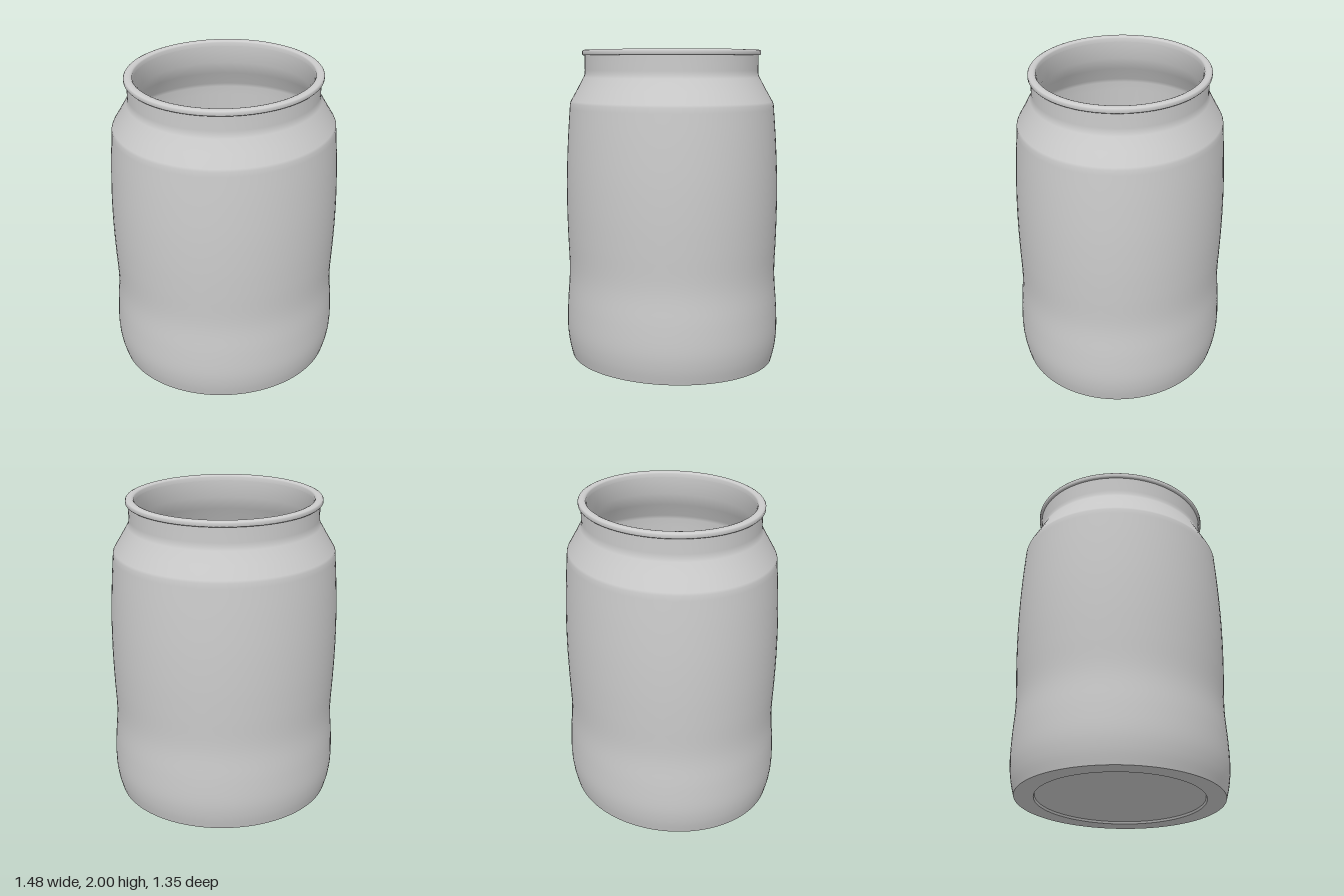
import * as THREE from 'three';

const DEPTH = 0.916; // the jar is oval: z is narrower than x
const SEGMENTS = 96;

const material = new THREE.MeshStandardMaterial({ color: 0xcccccc, side: THREE.DoubleSide });

const toPoints = (pairs) => pairs.map(([r, y]) => new THREE.Vector2(r, y));
const smooth = (pairs, n) => new THREE.SplineCurve(toPoints(pairs)).getPoints(n);

// Turns a profile, squashes it to an oval and leans it very slightly
function turned(name, points) {
  const geometry = new THREE.LatheGeometry(points, SEGMENTS, Math.PI / 2);
  geometry.scale(1, 1, DEPTH);
  const p = geometry.attributes.position;
  for (let i = 0; i < p.count; i++) {
    p.setX(i, p.getX(i) - 0.004 * Math.min(1, p.getY(i) / 1.7));
  }
  const mesh = new THREE.Mesh(geometry, material);
  mesh.name = name;
  return mesh;
}

export function createModel() {
  const jar = new THREE.Group();
  jar.name = 'jar';

  // Outer wall: rounded foot, slight waist, gentle belly
  const wall = smooth([
    [0.705, 0], [0.727, 0.09], [0.738, 0.2], [0.733, 0.36], [0.718, 0.57],
    [0.725, 0.8], [0.729, 1.0], [0.726, 1.22], [0.714, 1.45], [0.697, 1.66],
  ], 40);
  // Sloping shoulder and straight neck
  const shoulder = toPoints([
    [0.69, 1.675], [0.645, 1.75], [0.602, 1.825], [0.593, 1.845], [0.592, 1.87], [0.592, 1.966],
  ]);
  jar.add(turned('outerWall', [...wall, ...shoulder]));

  // Rolled lip
  jar.add(turned('rim', toPoints([
    [0.588, 1.965], [0.604, 1.965], [0.609, 1.971], [0.609, 1.988], [0.604, 1.995],
    [0.592, 2], [0.574, 2], [0.562, 1.996], [0.556, 1.988], [0.555, 1.965],
  ])));

  // Inner wall follows the outside, then rounds into a shallow bowl floor
  jar.add(turned('innerWall', [
    ...toPoints([[0.555, 1.966], [0.556, 1.85], [0.6, 1.76], [0.655, 1.665]]),
    ...smooth([
      [0.66, 1.64], [0.688, 1.22], [0.69, 0.9], [0.68, 0.57], [0.69, 0.3],
      [0.66, 0.16], [0.55, 0.085], [0.3, 0.055], [0, 0.05],
    ], 40),
  ]));

  // Flat foot ring
  jar.add(turned('footRing', toPoints([[0.575, 0], [0.705, 0]])));

  // Recessed underside with a small step at its edge
  jar.add(turned('baseStep', toPoints([[0.568, 0.014], [0.575, 0]])));
  jar.add(turned('base', smooth([[0, 0.035], [0.25, 0.032], [0.45, 0.023], [0.568, 0.014]], 10)));

  return jar;
}
